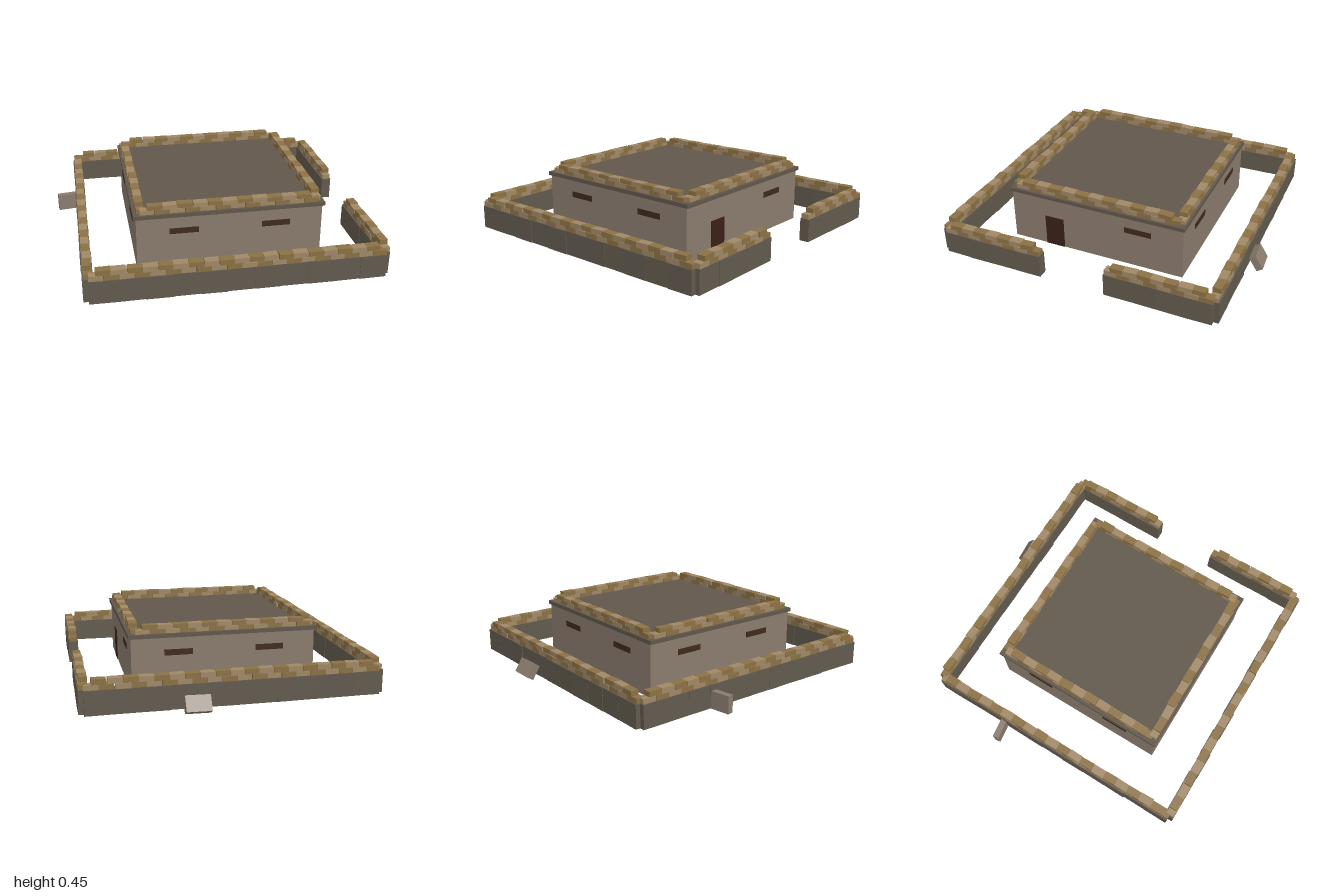
import * as THREE from 'three';

const mat = (color) => new THREE.MeshStandardMaterial({ color });
const MATS = {
  concrete: mat(0x8a7b6e), panel: mat(0x625a4e), roof: mat(0x61574b),
  bagLight: mat(0xa08866), bagDark: mat(0x8b7145), slit: mat(0x3f2a1a), door: mat(0x3a2018),
};
const CX = 0.057, CZ = 0.041; // centre of the compound
const BASE = 0.013;

// Small seeded generator, returns -1..1
let seed = 7;
const jitter = () => {
  seed = (seed * 16807) % 2147483647;
  return (seed / 2147483647) * 2 - 1;
};

function box(parent, name, material, size, pos, rot = [0, 0, 0]) {
  const mesh = new THREE.Mesh(new THREE.BoxGeometry(...size), material);
  mesh.name = name;
  mesh.position.set(...pos);
  mesh.rotation.set(...rot);
  parent.add(mesh);
  return mesh;
}

// Group at the compound centre whose local +z faces one side
function sideGroup(parent, name, angle) {
  const g = new THREE.Group();
  g.name = name;
  g.position.set(CX, 0, CZ);
  g.rotation.y = angle;
  parent.add(g);
  return g;
}

// Two staggered layers of sandbags along local x, from x0 to x1
function sandbagRow(parent, x0, x1, z, y, h) {
  const n = Math.round((x1 - x0) / 0.09);
  const pitch = (x1 - x0) / n;
  for (let layer = 0; layer < 2; layer++) {
    for (let i = 0; i < n - layer; i++) {
      const x = x0 + (i + 0.5 + layer * 0.5) * pitch;
      const light = (i + layer) % 2 === 0;
      box(parent, 'sandbag', light ? MATS.bagLight : MATS.bagDark,
        [pitch * (0.98 + 0.03 * jitter()), h * (1 + 0.05 * jitter()), 0.052 + 0.003 * jitter()],
        [x + 0.003 * jitter(), y + h * (layer + 0.5), z + 0.003 * jitter()],
        [0, 0.05 * jitter(), 0.03 * jitter()]);
    }
  }
}

// Stretch of upright concrete panels topped with sandbags
function wallRun(parent, x0, x1, z) {
  const n = Math.round((x1 - x0) / 0.165);
  const pitch = (x1 - x0) / n;
  for (let i = 0; i < n; i++) {
    box(parent, 'wallPanel', MATS.panel,
      [pitch * 1.01, 0.148, 0.064],
      [x0 + (i + 0.5) * pitch, BASE + 0.074, z + 0.003 * jitter()],
      [0.01 * jitter(), 0.015 * jitter(), 0.008 * jitter()]);
  }
  sandbagRow(parent, x0, x1, z, 0.16, 0.0325);
}

export function createModel() {
  const model = new THREE.Group();
  model.name = 'fortifiedBunker';

  // Main building and overhanging roof slab
  const bunker = new THREE.Group();
  bunker.name = 'bunker';
  model.add(bunker);
  box(bunker, 'bunkerBody', MATS.concrete, [1.17, 0.36 - BASE, 1.18], [CX, (0.36 + BASE) / 2, CZ]);
  box(bunker, 'roofSlab', MATS.roof, [1.2, 0.025, 1.2], [CX, 0.3725, CZ]);

  // Sides in order: front, left (+x, with the gate), back, right
  ['front', 'gate', 'back', 'far'].forEach((side, i) => {
    const angle = i * Math.PI / 2;
    const gate = side === 'gate';
    const face = i % 2 ? 0.585 : 0.59;

    // Firing slits, with a door in place of one of them on the gate side
    const openings = sideGroup(bunker, side + 'Openings', angle);
    for (const s of [-1, 1]) {
      if (gate && s < 0) box(openings, 'door', MATS.door, [0.13, 0.21, 0.008], [-0.292, BASE + 0.105, face]);
      else box(openings, 'firingSlit', MATS.slit, [0.18, 0.037, 0.008], [s * 0.29, 0.265, face]);
    }

    // Parapet of sandbags on the roof
    const parapet = sideGroup(bunker, side + 'Parapet', angle);
    sandbagRow(parapet, -0.56, 0.56, i % 2 ? 0.556 : 0.559, 0.385, 0.0275);

    // Perimeter wall, open in the middle of the gate side
    const wall = sideGroup(model, side + 'Wall', angle);
    if (gate) {
      wallRun(wall, -0.896, -0.218, 0.896);
      wallRun(wall, 0.215, 0.896, 0.896);
    } else wallRun(wall, -0.896, 0.896, 0.896);
  });

  // Loose slabs lying against the outside of the wall
  box(model, 'leaningSlab', MATS.concrete, [0.155, 0.1, 0.045], [0.308, 0.054, -0.936], [0.56, 0.08, 0]);
  box(model, 'looseSlab', MATS.concrete, [0.15, 0.112, 0.04], [-0.922, 0.068, -0.335], [0, 0.15, 0]);
  return model;
}
